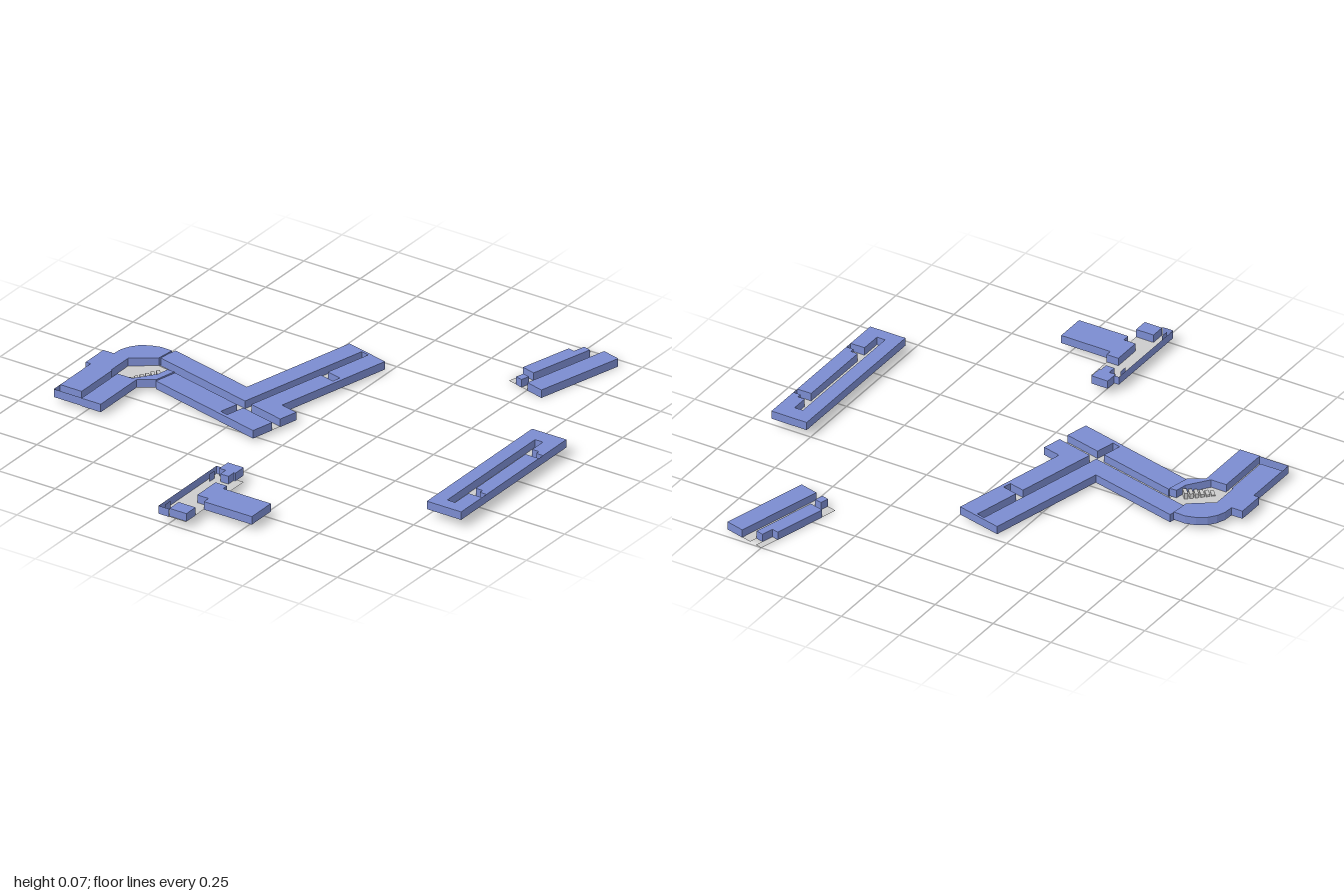
import * as THREE from 'three';

const H = 0.033; // storey height
const blue = new THREE.MeshStandardMaterial({ color: 0x7b8cd0, side: THREE.DoubleSide, flatShading: true });
const grey = new THREE.MeshStandardMaterial({ color: 0xcccccc, side: THREE.DoubleSide, flatShading: true });

const shapeOf = (pts) => new THREE.Shape(pts.map(([x, z]) => new THREE.Vector2(x, -z)));
const rect = (x0, x1, z0, z1) => [[x0, z0], [x1, z0], [x1, z1], [x0, z1]];

function add(parent, name, geo, mat, y = 0) {
  const mesh = new THREE.Mesh(geo, mat);
  mesh.name = name;
  mesh.position.y = y;
  parent.add(mesh);
  return mesh;
}

// Room volume: roof and walls, open underneath
function room(parent, name, pts, y = 0) {
  const full = new THREE.ExtrudeGeometry(shapeOf(pts), { depth: H, bevelEnabled: false });
  const bottom = full.groups[0].count / 2; // lower lid comes first
  const geo = new THREE.BufferGeometry();
  geo.setAttribute('position', new THREE.BufferAttribute(full.attributes.position.array.slice(bottom * 3), 3));
  geo.rotateX(-Math.PI / 2);
  geo.computeVertexNormals();
  return add(parent, name, geo, blue, y);
}

function floor(parent, name, pts, y = 0.001) {
  return add(parent, name, new THREE.ShapeGeometry(shapeOf(pts)).rotateX(-Math.PI / 2), grey, y);
}

function wing(parent, name, x, y, z, angle = 0) {
  const g = new THREE.Group();
  g.name = name;
  g.position.set(x, y, z);
  g.rotation.y = angle;
  parent.add(g);
  return g;
}

// Thin upright partition between two plan points
function partition(parent, name, [x0, z0], [x1, z1]) {
  const geo = new THREE.PlaneGeometry(Math.hypot(x1 - x0, z1 - z0), H);
  const m = add(parent, name, geo, blue, H / 2);
  m.position.x = (x0 + x1) / 2;
  m.position.z = (z0 + z1) / 2;
  m.rotation.y = -Math.atan2(z1 - z0, x1 - x0);
}

export function createModel() {
  const model = new THREE.Group();
  model.name = 'buildingFloors';

  // Short tilted block
  const short = wing(model, 'shortBlock', 0.538, 0, -0.797, -0.255);
  room(short, 'rightRooms', rect(0.012, 0.09, -0.188, 0.188));
  room(short, 'leftRooms', rect(-0.09, -0.03, -0.105, 0.12));
  room(short, 'backCloset', rect(-0.062, -0.03, -0.155, -0.105));
  room(short, 'frontCloset', rect(-0.05, -0.02, 0.152, 0.188));
  floor(short, 'floorPlate', [[-0.09, -0.188], [-0.06, -0.188], [-0.06, -0.11], [-0.03, -0.11], [-0.03, -0.188],
    [0.012, -0.188], [0.012, -0.14], [0.09, -0.14], [0.09, 0.188], [-0.02, 0.188], [-0.02, 0.15],
    [-0.05, 0.15], [-0.05, 0.188], [-0.09, 0.188]]);

  // Long block: rooms around an inner corridor with two side bays
  const long = wing(model, 'longBlock', 0, 0.035, 0);
  room(long, 'leftRooms', rect(0.758, 0.815, -0.2, 0.375));
  room(long, 'backRooms', rect(0.758, 0.91, -0.265, -0.2));
  room(long, 'frontRooms', rect(0.758, 0.91, 0.375, 0.425));
  for (const [a, b] of [[-0.2, -0.13], [-0.085, 0.24], [0.288, 0.375]])
    room(long, 'rightRooms', rect(0.85, 0.91, a, b));
  floor(long, 'corridorFloor', rect(0.815, 0.85, -0.2, 0.375));
  for (const [a, b] of [[-0.13, -0.085], [0.24, 0.288]]) {
    floor(long, 'bayFloor', rect(0.85, 0.91, a, b));
    room(long, 'bayCloset', rect(0.88, 0.91, a, a + 0.018));
    partition(long, 'bayWall', [0.91, a], [0.91, b]);
  }

  // Hall with a projecting wing
  const hall = wing(model, 'hallBlock', 0, 0.028, 0);
  floor(hall, 'hallFloor', rect(-0.045, 0.075, 0.615, 0.995));
  room(hall, 'backPorch', rect(-0.025, 0.045, 0.57, 0.625));
  room(hall, 'backCloset', rect(0.002, 0.038, 0.625, 0.66));
  room(hall, 'sideWing', [[0.025, 0.725], [0.075, 0.725], [0.075, 0.75], [0.287, 0.75],
    [0.287, 0.875], [0.075, 0.875], [0.075, 0.845], [0.025, 0.845]]);
  room(hall, 'frontCloset', rect(0, 0.075, 0.93, 0.99));
  partition(hall, 'leftWall', [-0.045, 0.615], [-0.045, 0.995]);
  partition(hall, 'frontWall', [-0.045, 0.995], [0.002, 0.995]);
  partition(hall, 'backWall', [-0.045, 0.615], [-0.025, 0.615]);
  for (const z of [0.65, 0.94]) partition(hall, 'nookWall', [-0.03, z], [-0.03, z + 0.035]);

  // Two tilted wings crossing at right angles
  const cross = wing(model, 'crossingWings', -0.24, 0.013, 0.13, -0.238);
  room(cross, 'armLeftRooms', rect(-0.103, -0.025, -0.605, -0.095));
  room(cross, 'armRightBackRooms', rect(0.01, 0.09, -0.605, -0.395));
  room(cross, 'armRightFrontRooms', rect(0.01, 0.09, -0.36, -0.095));
  room(cross, 'bayCloset', rect(0.075, 0.09, -0.395, -0.36));
  floor(cross, 'bayFloor', rect(0.01, 0.075, -0.395, -0.36));
  room(cross, 'backLeftRooms', rect(-0.49, -0.025, -0.095, -0.015));
  room(cross, 'backRightRooms', rect(0.01, 0.167, -0.095, -0.015));
  room(cross, 'frontLeftRooms', rect(-0.362, -0.025, 0.025, 0.12));
  room(cross, 'frontRightRooms', rect(0.01, 0.167, 0.025, 0.12));
  room(cross, 'corridorEnd', rect(-0.025, 0.01, -0.605, -0.595));
  room(cross, 'corridorEnd', rect(-0.025, 0.01, 0.105, 0.12));
  floor(cross, 'armCorridorFloor', rect(-0.025, 0.01, -0.595, 0.105));
  floor(cross, 'crossCorridorFloor', rect(-0.46, 0.167, -0.015, 0.025), 0.0015);

  // Rounded corner hub
  const hub = wing(model, 'cornerHub', 0, 0.018, 0);
  room(hub, 'curvedRooms', [[-0.865, 0.075], [-0.862, 0.035], [-0.848, 0.0], [-0.825, -0.03], [-0.79, -0.052],
    [-0.75, -0.064], [-0.7, -0.062], [-0.708, 0.012], [-0.8, 0.078]]);
  room(hub, 'sideRoom', rect(-0.912, -0.8, 0.075, 0.19));
  room(hub, 'innerCornerRoom', [[-0.7, 0.2], [-0.68, 0.2], [-0.62, 0.16], [-0.6, 0.07], [-0.63, 0.07], [-0.64, 0.12]]);
  floor(hub, 'hubFloor', [[-0.8, 0.078], [-0.708, 0.012], [-0.61, 0.03], [-0.61, 0.07], [-0.63, 0.07],
    [-0.64, 0.12], [-0.7, 0.2], [-0.8, 0.2]]);
  // Rising steps along the inner corner
  for (let i = 0; i < 6; i++) {
    const h = 0.005 + i * 0.004;
    const step = add(hub, 'step', new THREE.BoxGeometry(0.014, h, 0.035), grey, h / 2);
    step.position.x = -0.728 + i * 0.015;
    step.position.z = 0.165 - i * 0.014;
    step.rotation.y = 0.75;
  }

  // Straight wing leading from the hub
  const front = wing(model, 'frontWing', 0, 0.018, 0);
  room(front, 'leftRooms', rect(-0.89, -0.795, 0.19, 0.39));
  room(front, 'rightRooms', rect(-0.765, -0.68, 0.2, 0.435));
  floor(front, 'corridorFloor', rect(-0.795, -0.765, 0.19, 0.43), 0.0015);
  floor(front, 'lobbyFloor', rect(-0.89, -0.795, 0.39, 0.43));
  partition(front, 'lobbyFrontWall', [-0.89, 0.432], [-0.765, 0.432]);
  partition(front, 'lobbySideWall', [-0.89, 0.39], [-0.89, 0.432]);

  return model;
}
